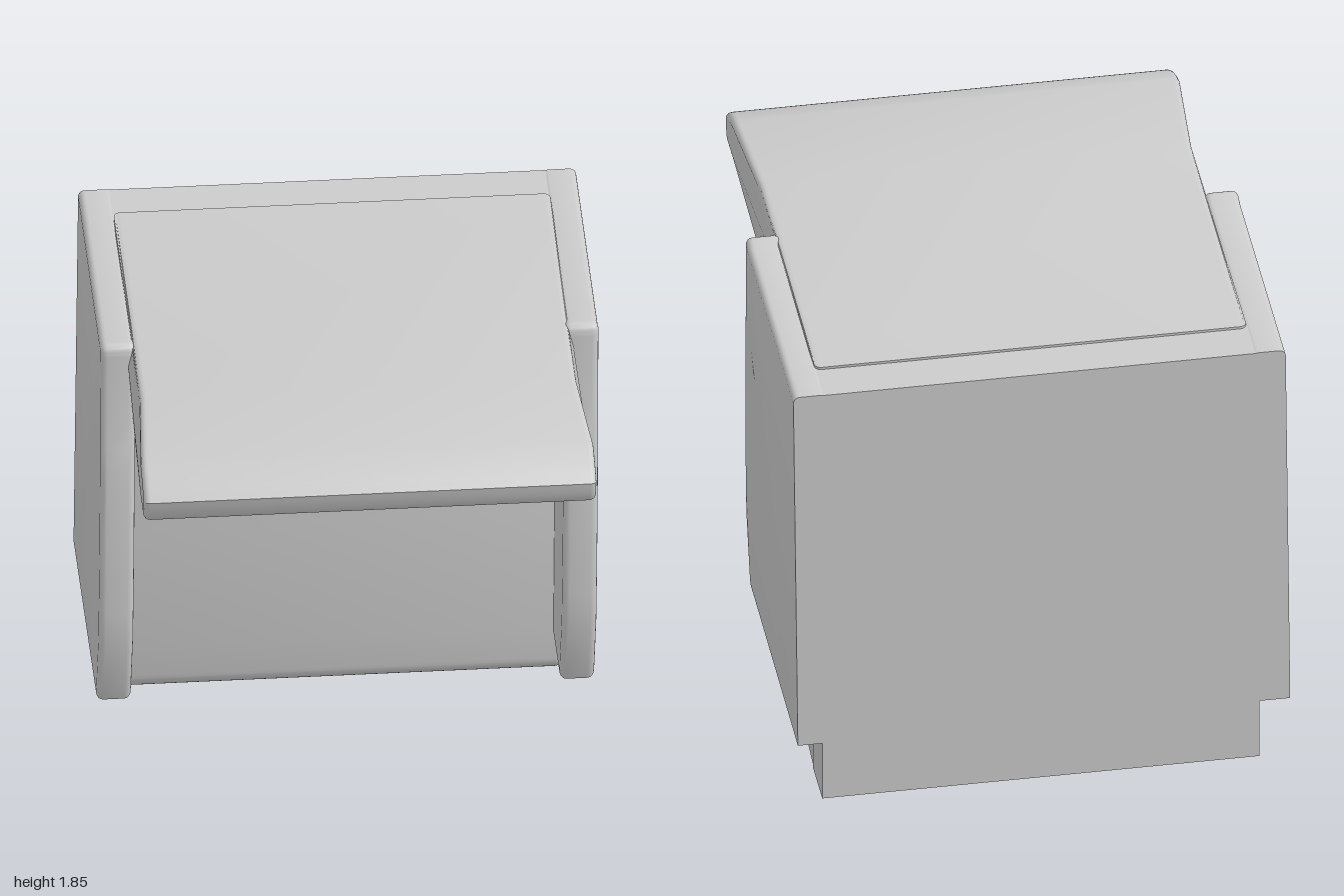
import * as THREE from 'three';
import { toCreasedNormals } from 'three/addons/utils/BufferGeometryUtils.js';

// Side profile in (z, y), swept across x with soft rims; warp(v) adjusts each vertex.
function sweep(name, shape, width, bevel, warp) {
  let geo = new THREE.ExtrudeGeometry(shape, {
    depth: width - 2 * bevel, bevelEnabled: true, bevelThickness: bevel,
    bevelSize: bevel, bevelOffset: -bevel, bevelSegments: 4, curveSegments: 8,
  });
  geo.translate(0, 0, -(width - 2 * bevel) / 2);
  geo.rotateY(-Math.PI / 2);
  const p = geo.attributes.position, v = new THREE.Vector3();
  for (let i = 0; i < p.count; i++) {
    warp(v.fromBufferAttribute(p, i));
    p.setXYZ(i, v.x, v.y, v.z);
  }
  geo = toCreasedNormals(geo, 0.7);
  const mesh = new THREE.Mesh(geo, new THREE.MeshStandardMaterial({ color: 0xcccccc }));
  mesh.name = name;
  return mesh;
}

export function createModel() {
  const group = new THREE.Group();
  group.name = 'hoodedSeatBack';

  // Flat backing box
  const back = new THREE.Mesh(
    new THREE.BoxGeometry(1.66, 1.83, 0.21),
    new THREE.MeshStandardMaterial({ color: 0xcccccc }));
  back.name = 'backBox';
  back.position.set(0, 0.915, -0.895);
  group.add(back);

  // Cushioned front running up into the overhanging hood
  const s = new THREE.Shape();
  s.moveTo(-0.83, 0.004);
  s.lineTo(-0.64, 0.008);
  s.lineTo(-0.3, 0.065);
  s.quadraticCurveTo(-0.245, 0.09, -0.245, 0.14);
  s.lineTo(-0.23, 0.28);
  s.lineTo(-0.25, 0.8);
  s.lineTo(-0.27, 1.28);
  s.quadraticCurveTo(-0.27, 1.43, -0.08, 1.46);
  s.lineTo(0.1, 1.5);
  s.lineTo(0.35, 1.55);
  s.lineTo(0.83, 1.66);
  s.lineTo(0.96, 1.66);
  s.quadraticCurveTo(0.985, 1.68, 1, 1.76);
  s.quadraticCurveTo(0.95, 1.81, 0.83, 1.84);
  s.lineTo(0.4, 1.84);
  s.lineTo(-0.83, 1.84);
  s.closePath();
  group.add(sweep('cushionAndHood', s, 1.64, 0.025, (v) => {
    // Hood flares a little towards its nose
    const flare = THREE.MathUtils.smoothstep(v.z, 0.4, 0.85) * 0.03;
    v.x += Math.sign(v.x) * flare + 0.008;
    if (v.z < -0.78) v.y = v.y > 1 ? 1.84 : 0.004;
  }));

  // Side wings with bowed front edges and a square back
  const w = new THREE.Shape();
  w.moveTo(-1, 0.25);
  w.lineTo(0.065, 0.25);
  w.lineTo(0.085, 0.3);
  w.lineTo(0.145, 0.55);
  w.quadraticCurveTo(0.155, 1.1, 0.095, 1.52);
  w.lineTo(0.075, 1.8);
  w.quadraticCurveTo(0.075, 1.845, 0.04, 1.845);
  w.lineTo(0, 1.832);
  w.lineTo(-1, 1.832);
  w.closePath();
  for (const side of [1, -1]) {
    group.add(sweep(side > 0 ? 'leftWing' : 'rightWing', w, 0.13, 0.025, (v) => {
      if (v.z < -0.95) v.z = -1;
      if (v.y < 0.28 && v.z < 0.04) v.y = 0.25;
      v.x += side * 0.87 + 0.005 - 0.02 * (1 - v.y / 1.84);
    }));
  }
  return group;
}
